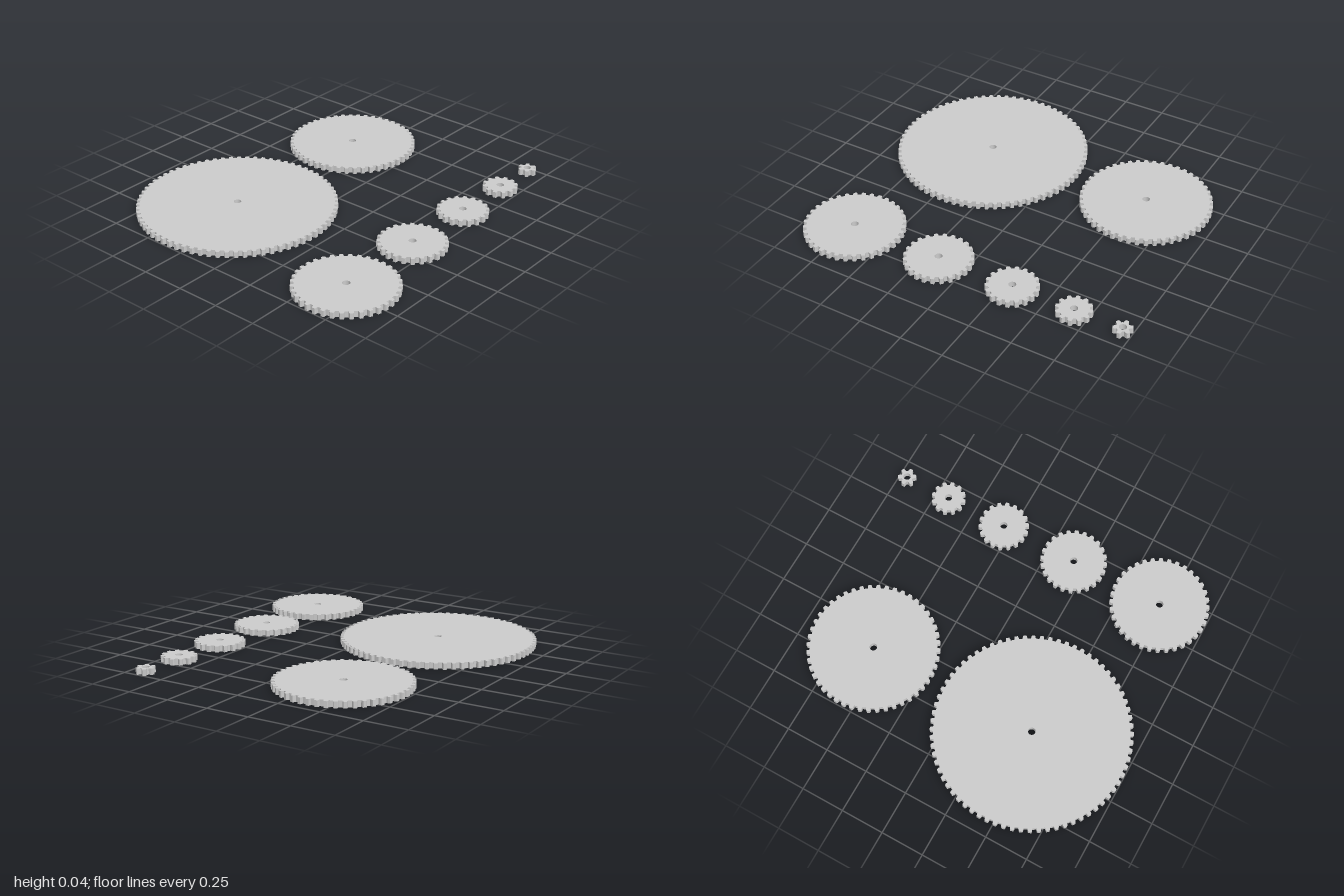
import * as THREE from 'three';

const K = 0.0077;         // pitch radius per tooth
const THICKNESS = 0.035;
const BORE = 0.021;

// Spur gear lying flat on y = 0, teeth offset by half a pitch
function gearGeometry(teeth) {
  const pitchR = K * teeth;
  const tipR = pitchR + K;
  const rootR = pitchR - 0.0115;
  const step = (Math.PI * 2) / teeth;
  const points = [];
  const add = (r, a) => points.push(new THREE.Vector2(r * Math.cos(a), r * Math.sin(a)));

  for (let i = 0; i < teeth; i++) {
    const a = (i + 0.5) * step;
    add(rootR, a - step / 2);              // middle of the gap
    add(rootR, a - 0.0135 / rootR);        // tapered tooth flanks
    add(pitchR, a - 0.012 / pitchR);
    add(tipR, a - 0.0085 / tipR);
    add(tipR, a + 0.0085 / tipR);
    add(pitchR, a + 0.012 / pitchR);
    add(rootR, a + 0.0135 / rootR);
  }

  const shape = new THREE.Shape(points);
  const bore = new THREE.Path();
  bore.absarc(0, 0, BORE, 0, Math.PI * 2, true);
  shape.holes.push(bore);

  const geometry = new THREE.ExtrudeGeometry(shape, {
    depth: THICKNESS, bevelEnabled: false, curveSegments: 32,
  });
  return geometry.rotateX(-Math.PI / 2);
}

export function createModel() {
  const group = new THREE.Group();
  group.name = 'gearSet';
  const material = new THREE.MeshStandardMaterial({ color: 0xcccccc });

  // Teeth, x, z: two large gears at the back, five in a row at the front
  const gears = [
    [72, -0.438, -0.368],
    [48, 0.576, -0.368],
    [36, -0.715, 0.646],
    [24, -0.162, 0.646],
    [18, 0.298, 0.646],
    [12, 0.667, 0.646],
    [6, 0.948, 0.646],
  ];
  for (const [teeth, x, z] of gears) {
    const gear = new THREE.Mesh(gearGeometry(teeth), material);
    gear.name = `gear${teeth}Teeth`;
    gear.position.set(x, 0, z);
    group.add(gear);
  }
  return group;
}
